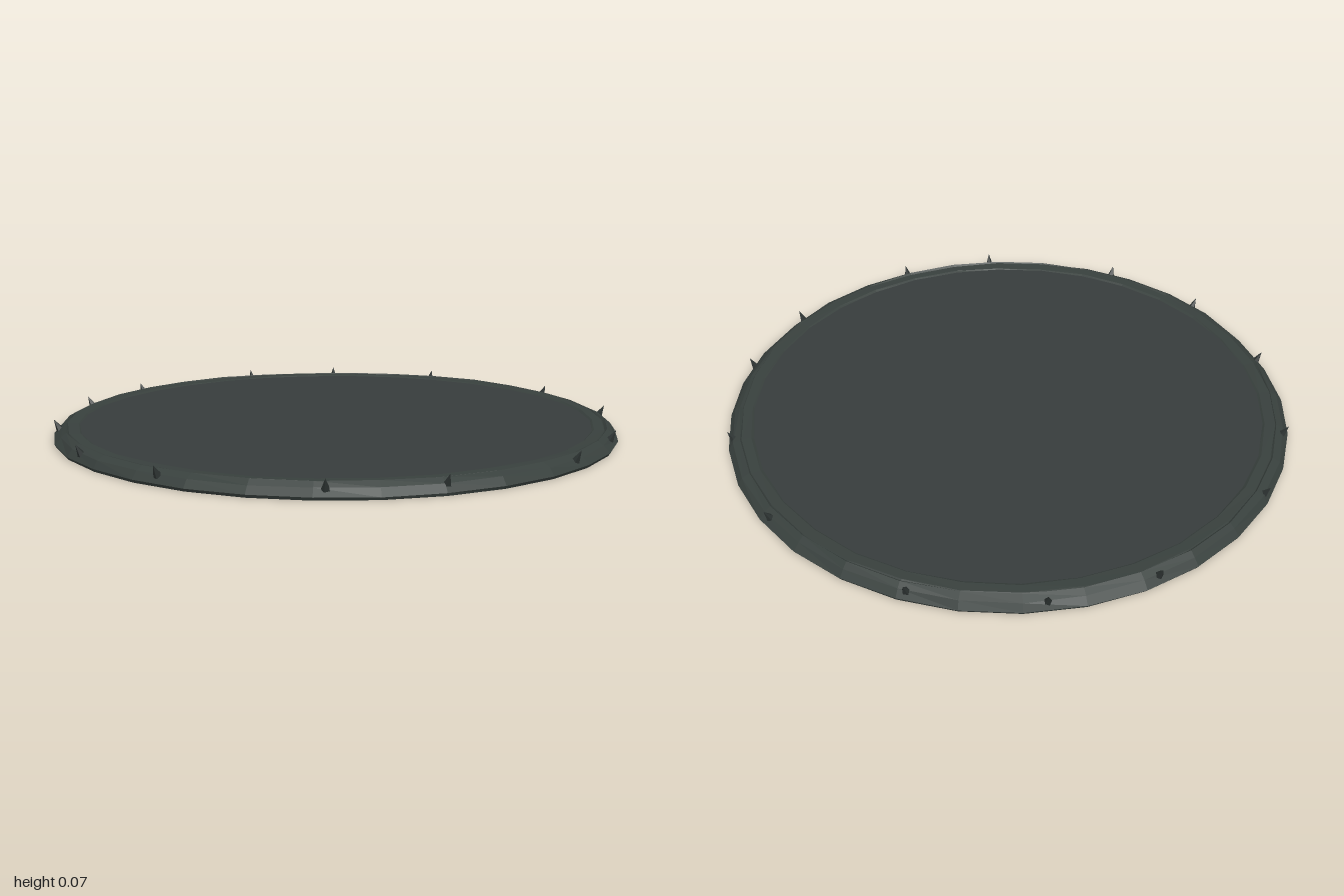
import * as THREE from 'three';

const SIDES = 32;

// Small periodic wobble that gives the rim its hand-cut look
const wobble = (a, k) => Math.sin(a * 5 + k * 2.1) * 0.6 + Math.sin(a * 11 + k * 4.7) * 0.4;

// Flat-sided ring swept from a [radius, height, wobble amount] profile
function ring(profile) {
  const geo = new THREE.LatheGeometry(profile.map(([r, y]) => new THREE.Vector2(r, y)), SIDES);
  const pos = geo.attributes.position;
  for (let i = 0; i < pos.count; i++) {
    const k = i % profile.length;
    const [r, y, amount] = profile[k];
    const a = Math.floor(i / profile.length) / SIDES * Math.PI * 2;
    const radius = r + wobble(a, k) * amount;
    pos.setXYZ(i, Math.sin(a) * radius, y + wobble(a, k + 3) * amount * 0.5, Math.cos(a) * radius);
  }
  geo.computeVertexNormals();
  return geo;
}

export function createModel() {
  const group = new THREE.Group();
  group.name = 'spikedDisc';

  const material = (name, color) => {
    const m = new THREE.MeshStandardMaterial({ color, flatShading: true });
    m.name = name;
    return m;
  };
  const floorGrey = material('floorGrey', 0x373c3c);
  const rimGrey = material('rimGrey', 0x38403d);
  const spikeGrey = material('spikeGrey', 0x2c3231);

  const add = (name, geo, mat) => {
    const mesh = new THREE.Mesh(geo, mat);
    mesh.name = name;
    group.add(mesh);
    return mesh;
  };

  // Flat floor and underside
  add('floor', new THREE.CircleGeometry(0.91, SIDES).rotateX(-Math.PI / 2), floorGrey).position.y = 0.041;
  add('underside', new THREE.CircleGeometry(0.985, SIDES).rotateX(Math.PI / 2), floorGrey);

  // Outer sloped rim and the slightly lower lip inside it
  add('outerRim', ring([
    [0.985, 0, 0], [0.991, 0.01, 0.002], [0.972, 0.034, 0.004],
    [0.95, 0.048, 0.004], [0.943, 0.04, 0.002],
  ]), rimGrey);
  add('innerLip', ring([
    [0.948, 0.038, 0], [0.943, 0.046, 0.003], [0.908, 0.045, 0.004], [0.898, 0.039, 0.002],
  ]), rimGrey);

  // Small spikes leaning outwards around the rim, by x and z
  const spots = [
    [0.165, -0.965], [0.665, -0.71], [0.91, -0.345], [0.97, 0.08], [0.885, 0.415],
    [0.55, 0.81], [0.225, 0.95], [-0.295, 0.93], [-0.64, 0.74], [-0.895, 0.405],
    [-0.98, -0.03], [-0.915, -0.36], [-0.59, -0.785], [-0.265, -0.945],
  ];
  const up = new THREE.Vector3(0, 1, 0);
  for (const [x, z] of spots) {
    const out = new THREE.Vector3(x, 0, z).normalize();
    const spike = add('spike', new THREE.ConeGeometry(0.014, 0.042, 5), spikeGrey);
    spike.position.copy(out).multiplyScalar(0.978).setY(0.047);
    spike.quaternion.setFromUnitVectors(up, out.multiplyScalar(0.55).add(up).normalize());
  }
  return group;
}
